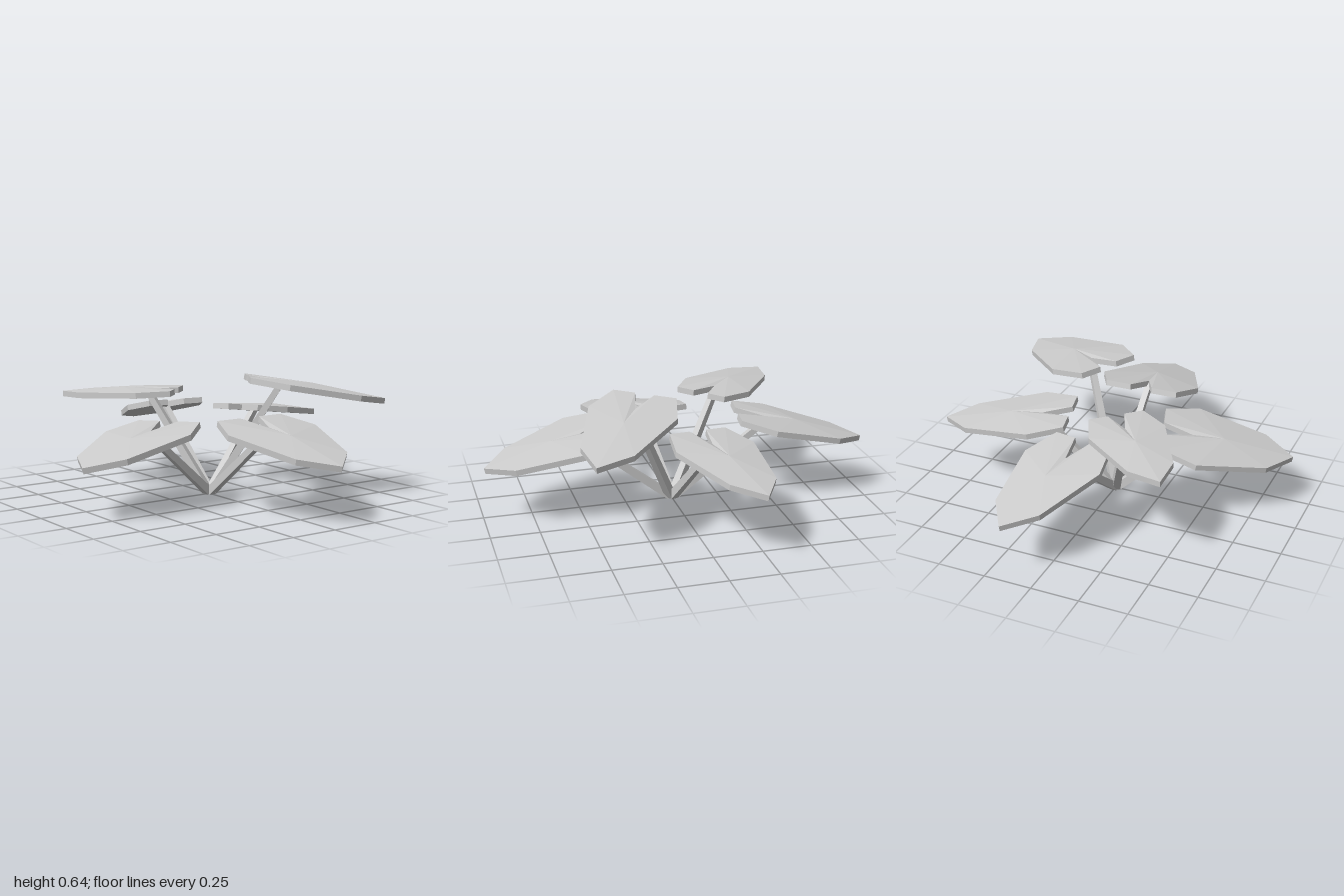
import * as THREE from 'three';

const material = new THREE.MeshStandardMaterial({ color: 0xcccccc, flatShading: true });
const THICKNESS = 0.03;
const DOME = 0.018;

// Right half of the heart outline: [along the midrib, across], from lobe to shoulder
const half = [[-0.15, 0.06], [-0.15, 0.2], [0.03, 0.275], [0.385, 0.16]];
const outline = [
  [0, 0], ...half, [0.525, 0],
  ...half.slice().reverse().map(([u, v]) => [u, -v]),
];

// Each leaf: tip, then its widest points on the left and right of the midrib
const leaves = [
  { name: 'front', tip: [0.05, 0.295, 0.99], left: [0.29, 0.41, 0.51], right: [-0.265, 0.41, 0.525] },
  { name: 'frontLeft', tip: [0.725, 0.515, 0.555], left: [0.4, 0.595, 0.08], right: [0.16, 0.615, 0.47] },
  { name: 'backLeft', tip: [0.885, 0.355, -0.225], left: [0.355, 0.415, -0.33], right: [0.445, 0.44, 0.1] },
  { name: 'back', tip: [0.155, 0.31, -1], left: [-0.16, 0.425, -0.555], right: [0.275, 0.425, -0.49] },
  { name: 'backRight', tip: [-0.51, 0.52, -0.65], left: [-0.345, 0.545, -0.175], right: [-0.05, 0.54, -0.44] },
  { name: 'right', tip: [-0.9, 0.275, 0.235], left: [-0.35, 0.395, 0.33], right: [-0.52, 0.36, -0.185] },
];

// Local frame that places the outline between the three given points
function leafFrame({ tip, left, right }) {
  const l = new THREE.Vector3(...left);
  const r = new THREE.Vector3(...right);
  const middle = l.clone().lerp(r, 0.5);
  const along = new THREE.Vector3(...tip).sub(middle).divideScalar(0.495);
  const across = r.clone().sub(l).divideScalar(0.55);
  const normal = across.clone().cross(along).normalize();
  const origin = middle.addScaledVector(along, -0.03);
  const point = (u, v, h) => origin.clone()
    .addScaledVector(along, u).addScaledVector(across, v).addScaledVector(normal, h);
  return point;
}

// Heart-shaped slab with a slightly raised centre
function leafGeometry(point) {
  const top = outline.map(([u, v]) => point(u, v, 0));
  const bottom = outline.map(([u, v]) => point(u, v, -THICKNESS));
  const topCentre = point(0.16, 0, DOME);
  const bottomCentre = point(0.16, 0, DOME - THICKNESS);
  const corners = [];
  top.forEach((a, i) => {
    const j = (i + 1) % top.length;
    const b = top[j], c = bottom[i], d = bottom[j];
    corners.push(topCentre, a, b, bottomCentre, d, c, a, c, d, a, d, b);
  });
  const geometry = new THREE.BufferGeometry().setFromPoints(corners);
  geometry.computeVertexNormals();
  return geometry;
}

// Straight four-sided stalk between two points
function stemMesh(from, to) {
  const direction = to.clone().sub(from);
  const geometry = new THREE.CylinderGeometry(0.022, 0.03, direction.length(), 4, 1);
  geometry.rotateY(Math.PI / 4);
  const mesh = new THREE.Mesh(geometry, material);
  // Keep one flat side facing upward along the stalk
  const y = direction.normalize();
  const x = new THREE.Vector3(y.z, 0, -y.x).normalize();
  const z = x.clone().cross(y);
  mesh.quaternion.setFromRotationMatrix(new THREE.Matrix4().makeBasis(x, y, z));
  mesh.position.copy(from).lerp(to, 0.5);
  return mesh;
}

export function createModel() {
  const plant = new THREE.Group();
  plant.name = 'plant';
  for (const spec of leaves) {
    const point = leafFrame(spec);
    const leaf = new THREE.Mesh(leafGeometry(point), material);
    leaf.name = spec.name + 'Leaf';

    // Stalk runs from the root to the notch of the leaf
    const end = point(0.01, 0, -THICKNESS * 0.7);
    const start = new THREE.Vector3(end.x, 0, end.z).setLength(0.015).setY(0.02);
    const stem = stemMesh(start, end);
    stem.name = spec.name + 'Stem';
    plant.add(leaf, stem);
  }
  return plant;
}
